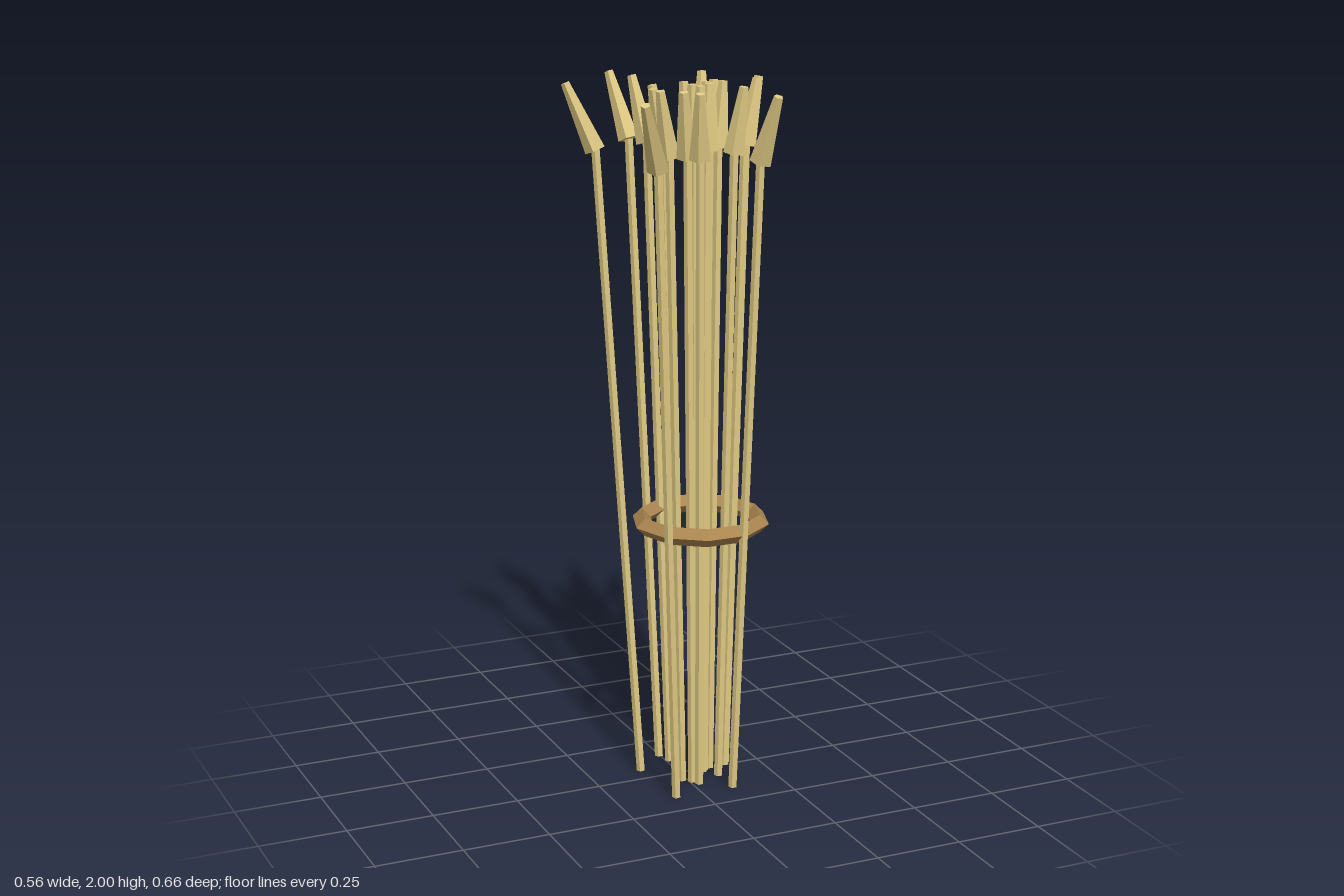
import * as THREE from 'three';

const CENTRE = new THREE.Vector2(0.058, 0.018);
const FOOT_Y = 0.001;
const NECK_Y = 1.815;
const TIP_Y = 1.996;

// x, z of each head tip; every stalk fans out from the bundle centre
const TIPS = [
  [-0.072, -0.319], [-0.045, -0.219], [0.166, -0.216], [-0.27, -0.149],
  [-0.236, 0.319], [0.143, 0.317], [0.268, -0.061], [0.246, -0.026],
  [0.14, -0.018], [0.128, -0.053], [0.034, -0.044], [0.09, -0.02],
  [0.094, 0.003], [0.077, 0.022], [0.039, 0.054], [0.032, 0.015],
  [-0.07, -0.02], [-0.1, 0.054], [-0.098, 0.099], [-0.05, 0.144],
  [-0.023, 0.189], [0.139, 0.116],
];

const strawMaterial = new THREE.MeshStandardMaterial({ color: 0xdec882, flatShading: true });
const bandMaterial = new THREE.MeshStandardMaterial({ color: 0xab8550, flatShading: true });

function addMesh(parent, name, geometry, material) {
  const mesh = new THREE.Mesh(geometry, material);
  mesh.name = name;
  parent.add(mesh);
  return mesh;
}

// Five-sided tapered rod running from one point to another
function addRod(parent, name, from, to, r0, r1) {
  const axis = to.clone().sub(from);
  const geometry = new THREE.CylinderGeometry(r1, r0, axis.length(), 5);
  geometry.rotateY(Math.PI);
  const rod = addMesh(parent, name, geometry, strawMaterial);
  rod.position.lerpVectors(from, to, 0.5);
  rod.quaternion.setFromUnitVectors(new THREE.Vector3(0, 1, 0), axis.normalize());
}

export function createModel() {
  const model = new THREE.Group();
  model.name = 'stalkBundle';

  // Stalks: thin stem with a wider tapering head that bends outward
  for (const [x, z] of TIPS) {
    const pointAt = (spread, y) => new THREE.Vector3(
      THREE.MathUtils.lerp(CENTRE.x, x, spread),
      y,
      THREE.MathUtils.lerp(CENTRE.y, z, spread)
    );
    const neck = pointAt(0.78, NECK_Y);
    const stalk = new THREE.Group();
    stalk.name = 'stalk';
    addRod(stalk, 'stem', pointAt(0.465, FOOT_Y), neck, 0.0125, 0.0125);
    addRod(stalk, 'head', neck, pointAt(1, TIP_Y), 0.031, 0.013);
    model.add(stalk);
  }

  // Ten-sided binding ring with a diamond section
  const band = new THREE.TorusGeometry(0.17, 0.026, 4, 10);
  band.rotateX(Math.PI / 2);
  addMesh(model, 'bindingRing', band, bandMaterial).position.set(CENTRE.x, 0.765, CENTRE.y);

  return model;
}
